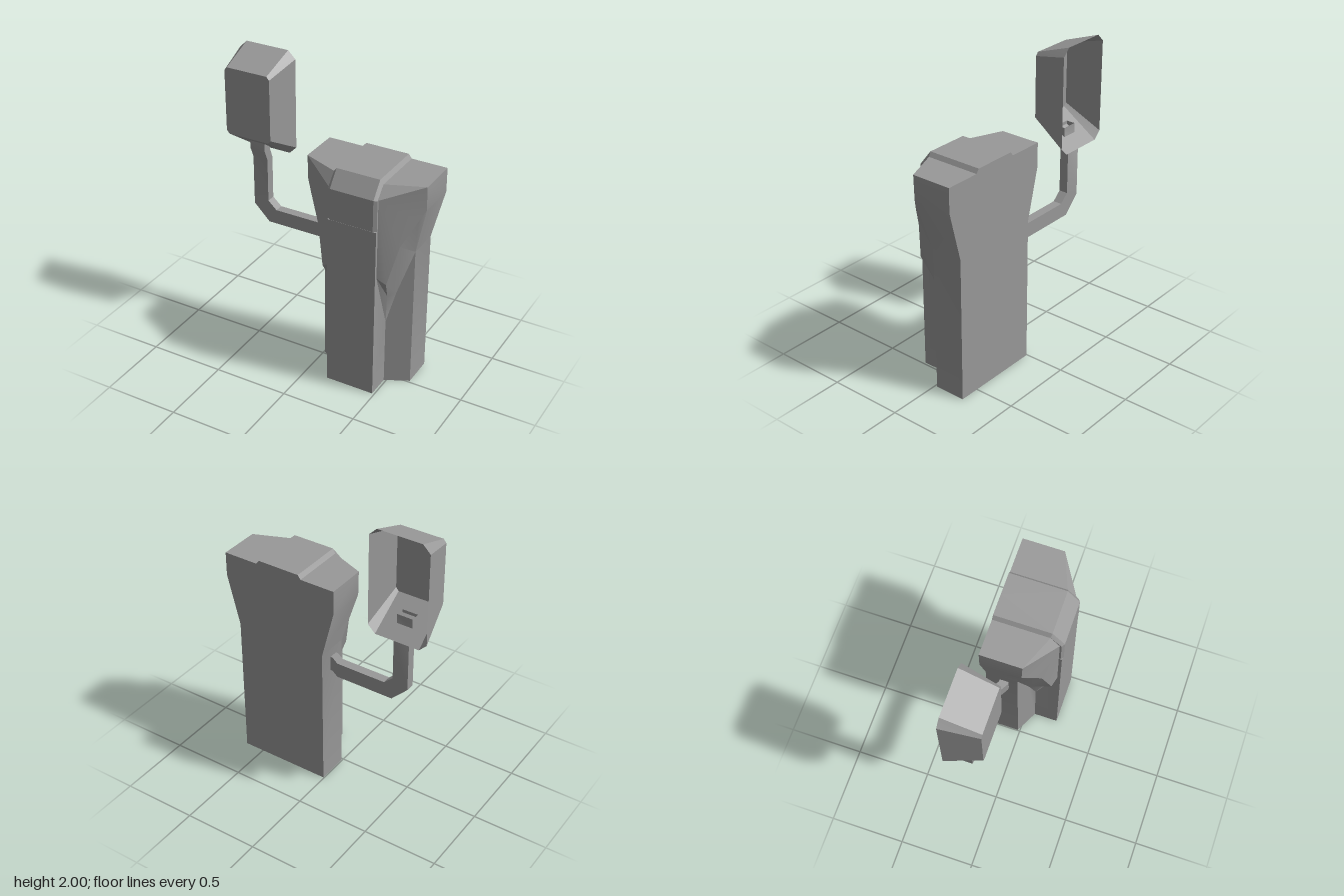
import * as THREE from 'three';
import { toCreasedNormals } from 'three/addons/utils/BufferGeometryUtils.js';

const solid = new THREE.MeshStandardMaterial({ color: 0x999999 });
const thin = new THREE.MeshStandardMaterial({ color: 0x999999, side: THREE.DoubleSide });

// Creased mesh from convex faces, each split into a fan
function facesMesh(name, faces, material, mirror = false) {
  const pos = [];
  for (const f of faces) {
    for (let i = 1; i < f.length - 1; i++) {
      const tri = [f[0], f[i], f[i + 1]];
      for (const p of tri) pos.push(...p);
      if (mirror) for (const p of tri.reverse()) pos.push(-p[0], p[1], p[2]);
    }
  }
  const g = new THREE.BufferGeometry();
  g.setAttribute('position', new THREE.Float32BufferAttribute(pos, 3));
  const mesh = new THREE.Mesh(toCreasedNormals(g, 0.5), material);
  mesh.name = name;
  return mesh;
}

// Triangles joining consecutive closed rings
function loft(rings) {
  const faces = [];
  for (let r = 0; r < rings.length - 1; r++) {
    const a = rings[r], b = rings[r + 1], n = a.length;
    for (let i = 0; i < n; i++) {
      const j = (i + 1) % n;
      faces.push([a[i], a[j], b[j]], [a[i], b[j], b[i]]);
    }
  }
  return faces;
}

// Tower with flared shoulders; one half, mirrored
function makeBody() {
  const back = -0.227;
  const O = [0, 0, back], T = [0, 1.48, back];
  const A0 = [0.315, 0, back], A1 = [0.315, 0.98, back], A2 = [0.402, 1.32, back], A3 = [0.402, 1.48, back];
  const B0 = [0.315, 0, -0.015], C0 = [0.165, 0, 0.06], D0 = [0.165, 0, 0.22], E = [0, 0, 0.22];
  // Line where the shoulder meets the column
  const Q0 = [0.315, 0.98, -0.015], Q1 = [0.22, 0.68, 0.032], Q2 = [0.165, 0.46, 0.06];
  // Shoulder ridge
  const P0 = [0.402, 1.32, 0.04], P1 = [0.365, 1.25, 0.07], P2 = [0.28, 1.08, 0.13];
  const P3 = [0.22, 0.82, 0.18], P4 = [0.195, 0.69, 0.108];
  const W = [0.402, 1.48, 0.045], S = [0.165, 1.48, 0.14], H = [0.165, 1.4, 0.2], F = [0.165, 0.86, 0.2];
  const G = [0.165, 1.19, 0.2], G2 = [0.165, 1.19, 0.22];
  return facesMesh('body', [
    [O, A0, B0, C0, D0, E],                      // underside
    [O, T, A3, A2, A1, A0],                      // back
    [A0, A1, Q0, B0], [A1, A2, P0, Q0], [A2, A3, W, P0], // side
    [C0, B0, Q0, Q1, Q2],                        // angled column face
    [D0, C0, Q2, F, G, G2],                      // front panel
    [E, D0, G2, [0, 1.19, 0.22]],
    [[0, 1.19, 0.2], [0, 1.19, 0.22], G2, G],
    [H, F, P3, P2, P1, P0, W], [W, S, H],        // shoulder front
    [T, [0, 1.48, 0.14], S, W, A3],              // top
    [Q0, P0, P1], [Q0, P1, P2], [Q0, P2, Q1],    // shoulder underside
    [Q1, P2, P3], [Q1, P3, P4], [Q1, P4, Q2],
    [Q2, P4, F], [P4, P3, F],
  ], solid, true);
}

// Raised cap running over the top and down the front
function makeCap() {
  const row = (x, pts) => pts.map(([y, z]) => [x, y, z]);
  const crest = [[1.507, -0.227], [1.507, 0.145], [1.405, 0.226], [1.195, 0.226]];
  const rows = [
    row(0, crest),
    row(0.145, crest),
    row(0.165, [[1.48, -0.227], [1.48, 0.14], [1.4, 0.212], [1.195, 0.212]]),
    row(0.165, [[1.48, -0.227], [1.48, 0.1], [1.4, 0.19], [1.195, 0.19]]),
  ];
  const faces = [];
  for (let r = 0; r < 3; r++) {
    for (let i = 0; i < 3; i++) {
      faces.push([rows[r][i], rows[r][i + 1], rows[r + 1][i + 1], rows[r + 1][i]]);
    }
  }
  const [m, n, o, q] = rows;
  faces.push([[0, 1.48, -0.227], m[0], n[0], o[0]]);
  faces.push([[0, 1.195, 0.19], q[3], o[3], n[3], m[3]]);
  return facesMesh('cap', faces, solid, true);
}

// Bent flat arm; each section: outer x, y, inner x, y, centre z
function makeArm() {
  const sections = [
    [0.03, 0.82, 0.03, 0.92, -0.105],
    [-0.01, 0.82, -0.01, 0.92, -0.105],
    [-0.07, 0.82, -0.07, 0.92, -0.14],
    [-0.465, 0.82, -0.41, 0.92, -0.14],
    [-0.575, 0.93, -0.47, 0.975, -0.14],
    [-0.575, 1.27, -0.47, 1.27, -0.14],
    [-0.575, 1.35, -0.47, 1.35, -0.108],
    [-0.575, 1.42, -0.47, 1.42, -0.108],
  ];
  const h = 0.03;
  const rings = sections.map(([ox, oy, ix, iy, z]) =>
    [[ox, oy, z - h], [ix, iy, z - h], [ix, iy, z + h], [ox, oy, z + h]]);
  return facesMesh('arm', loft(rings), thin);
}

// Hollow housing, open at the back
function makeHousing() {
  const octagon = (x0, x1, y0, y1, cx, cy, z) => [
    [x0 + cx, y0, z], [x1 - cx, y0, z], [x1, y0 + cy, z], [x1, y1 - cy, z],
    [x1 - cx, y1, z], [x0 + cx, y1, z], [x0, y1 - cy, z], [x0, y0 + cy, z],
  ];
  const rear = octagon(-0.725, -0.325, 1.295, 2, 0.05, 0.05, -0.227);
  const front = octagon(-0.685, -0.365, 1.465, 1.915, 0.018, 0.022, 0.015);
  return facesMesh('mirrorHousing', [...loft([rear, front]), front], thin);
}

export function createModel() {
  const model = new THREE.Group();
  model.name = 'model';
  const tower = new THREE.Group();
  tower.name = 'tower';
  tower.position.x = 0.32;
  tower.add(makeBody(), makeCap());
  model.add(tower, makeArm(), makeHousing());
  return model;
}
